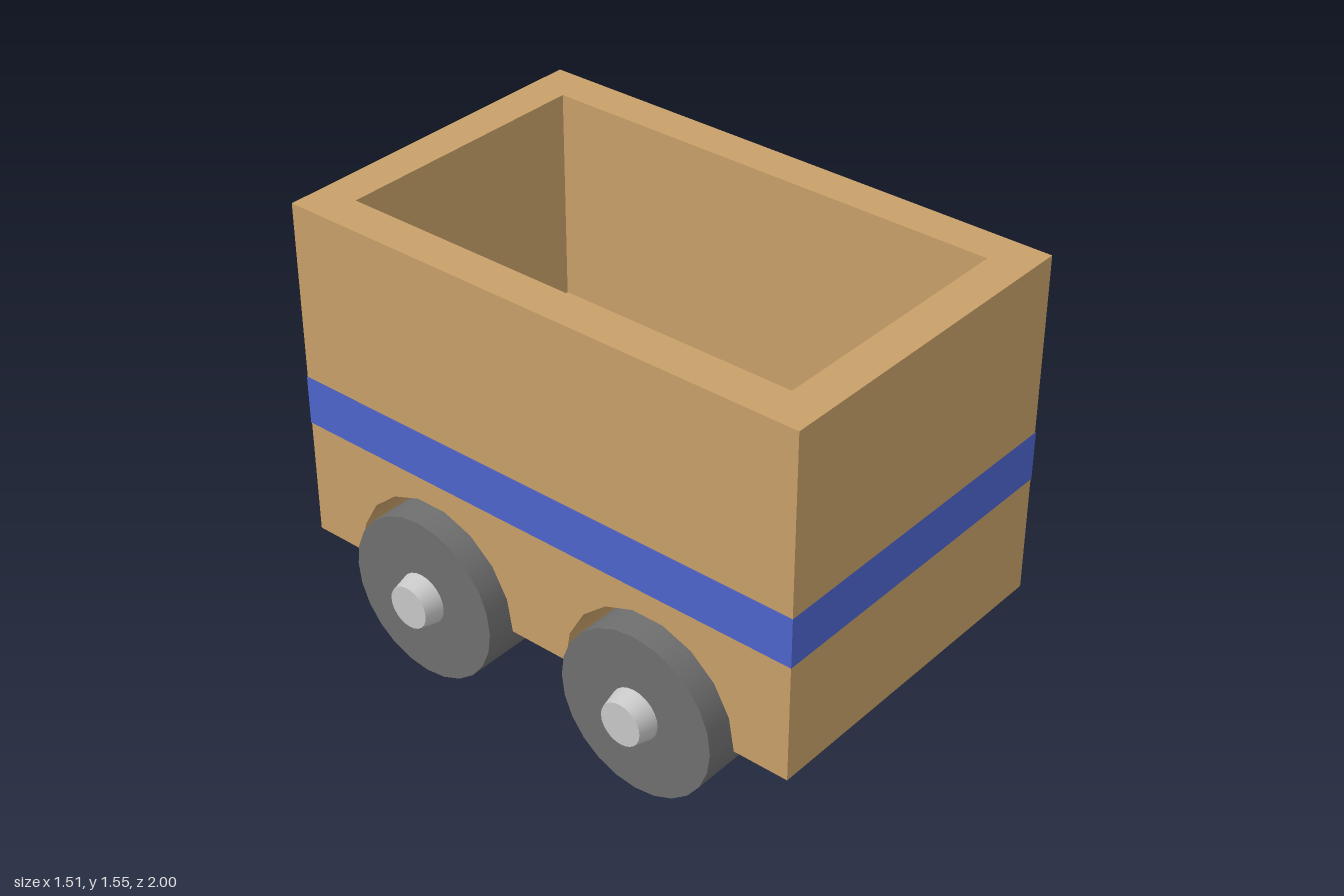
import * as THREE from 'three';
import { toCreasedNormals } from 'three/addons/utils/BufferGeometryUtils.js';

const HALF_W = 0.626, HALF_L = 1, BOTTOM = 0.296, FLOOR = 0.775, TOP = 1.546;
const WHEEL_R = 0.3, ARCH_R = 0.341, AXLES = [0.455, -0.455];

const mat = (name, color) => {
  const m = new THREE.MeshStandardMaterial({ color });
  m.name = name;
  return m;
};

const rectangle = (Type, w, l) => new Type([
  new THREE.Vector2(-w, -l), new THREE.Vector2(w, -l),
  new THREE.Vector2(w, l), new THREE.Vector2(-w, l),
]);

export function createModel() {
  const wood = mat('wood', 0xc8a069);
  const blue = mat('blue stripe', 0x4d65cc);
  const rubber = mat('wheel grey', 0x6f6f6f);
  const metal = mat('hub light grey', 0xc8c8c8);

  const model = new THREE.Group();
  model.name = 'wagon';
  const add = (parent, name, geometry, material) => {
    const mesh = new THREE.Mesh(geometry, material);
    mesh.name = name;
    parent.add(mesh);
    return mesh;
  };

  // Solid base with an arched tunnel across it for each pair of wheels
  const profile = new THREE.Shape();
  profile.moveTo(-HALF_L, BOTTOM);
  for (const z of AXLES) {
    for (let i = 0; i <= 9; i++) {
      const a = Math.PI * (1 - i / 9);
      profile.lineTo(-z + ARCH_R * Math.cos(a), BOTTOM + 0.004 * Math.sin(a) + ARCH_R * Math.sin(a));
    }
  }
  profile.lineTo(HALF_L, BOTTOM);
  profile.lineTo(HALF_L, FLOOR);
  profile.lineTo(-HALF_L, FLOOR);
  const base = new THREE.ExtrudeGeometry(profile, { depth: 2 * HALF_W, bevelEnabled: false });
  base.translate(0, 0, -HALF_W).rotateY(Math.PI / 2);
  add(model, 'base', toCreasedNormals(base, 0.5), wood);

  // Four walls around the open load space
  const rim = rectangle(THREE.Shape, HALF_W, HALF_L);
  rim.holes.push(rectangle(THREE.Path, 0.485, 0.86));
  const walls = new THREE.ExtrudeGeometry(rim, { depth: TOP - FLOOR, bevelEnabled: false });
  walls.rotateX(-Math.PI / 2).translate(0, FLOOR, 0);
  add(model, 'walls', walls, wood);

  // Painted stripe around the outside
  const stripe = new THREE.Group();
  stripe.name = 'stripe';
  model.add(stripe);
  for (let i = 0; i < 4; i++) {
    const [half, out] = i % 2 ? [HALF_L, HALF_W] : [HALF_W, HALF_L];
    const side = new THREE.PlaneGeometry(2 * half + 0.004, 0.18);
    side.translate(0, 0.815, out + 0.002).rotateY(i * Math.PI / 2);
    add(stripe, 'stripeSide', side, blue);
  }

  // Wheels with tapered hub caps, mirrored left and right
  const wheelGeo = new THREE.CylinderGeometry(WHEEL_R, WHEEL_R, 0.287, 24).rotateZ(-Math.PI / 2);
  const hubGeo = new THREE.CylinderGeometry(0.078, 0.094, 0.067, 24).rotateZ(-Math.PI / 2);
  for (const z of AXLES) {
    for (const side of [1, -1]) {
      const wheel = new THREE.Group();
      wheel.name = (z > 0 ? 'front' : 'back') + (side > 0 ? 'Left' : 'Right') + 'Wheel';
      add(wheel, 'tyre', wheelGeo, rubber).position.x = 0.5465;
      add(wheel, 'hub', hubGeo, metal).position.x = 0.7235;
      wheel.position.set(0, WHEEL_R, z);
      wheel.rotation.y = side > 0 ? 0 : Math.PI;
      model.add(wheel);
    }
  }
  return model;
}
